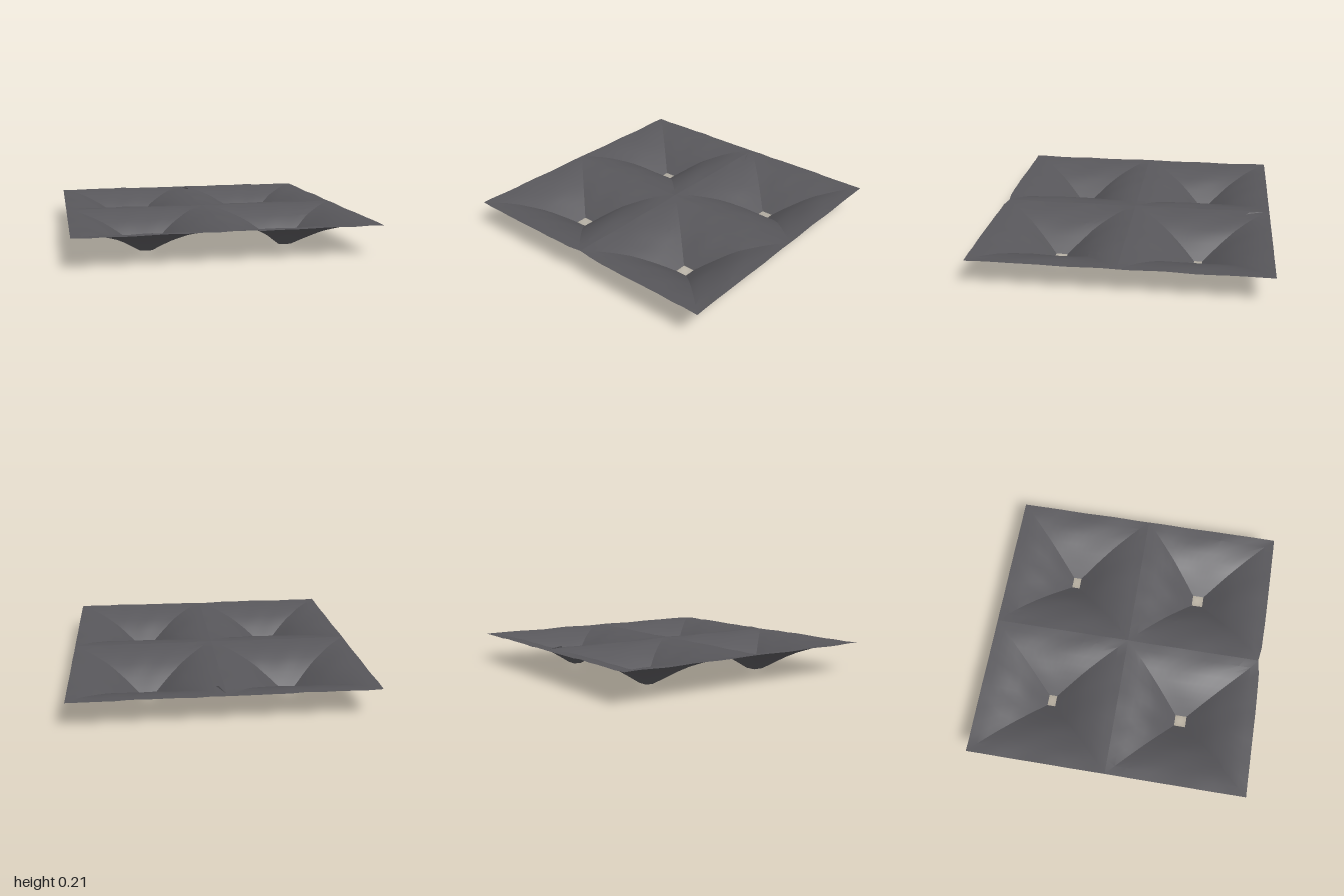
import * as THREE from 'three';
import { toCreasedNormals } from 'three/addons/utils/BufferGeometryUtils.js';

// Funnel section: [fraction from hole to panel edge, height]
const PROFILE = [
  [0, 0.004], [0.12, 0.047], [0.25, 0.09], [0.36, 0.123], [0.47, 0.15],
  [0.62, 0.178], [0.74, 0.194], [0.86, 0.204], [1, 0.209],
];
const SEGMENTS = 10; // per side of each square ring

// Gentle unevenness of the cloth, continuous across panels
function wrinkle(x, z) {
  return 0.0022 * Math.sin(9 * x + 4 * z + 1) * Math.cos(11 * z - 3 * x)
    + 0.0016 * Math.sin(23 * x - 13 * z) + 0.0012 * Math.sin(17 * z + 29 * x + 2);
}

// Shallow notch in the middle of the front hem
function hemPull(x, z) {
  const a = Math.abs(x);
  const pull = 0.008 * Math.max(0, 1 - a / 0.33) + 0.012 * Math.max(0, 1 - a / 0.04);
  return pull * THREE.MathUtils.smoothstep(z, 0.75, 0.985);
}

// Square funnel: rings growing from the hole rectangle to the panel rectangle
function funnelGeometry(hole, panel) {
  const positions = [], indices = [];
  const corners = [[-1, -1], [-1, 1], [1, 1], [1, -1]];
  const count = SEGMENTS * 4;
  const at = ([x0, x1], s) => THREE.MathUtils.lerp(x0, x1, (s + 1) / 2);
  for (const [t, y] of PROFILE) {
    for (let i = 0; i < count; i++) {
      const side = Math.floor(i / SEGMENTS), f = (i % SEGMENTS) / SEGMENTS;
      const p = corners[side], q = corners[(side + 1) % 4];
      const a = THREE.MathUtils.lerp(p[0], q[0], f);
      const b = THREE.MathUtils.lerp(p[1], q[1], f);
      const x = THREE.MathUtils.lerp(at(hole.x, a), at(panel.x, a), t);
      const z = THREE.MathUtils.lerp(at(hole.z, b), at(panel.z, b), t);
      positions.push(x, y + wrinkle(x, z) * Math.min(1, t * 2.5), z - hemPull(x, z));
    }
  }
  for (let r = 0; r < PROFILE.length - 1; r++) {
    for (let i = 0; i < count; i++) {
      const j = (i + 1) % count;
      const a = r * count + i, b = r * count + j;
      indices.push(a, a + count, b, b, a + count, b + count);
    }
  }
  const geometry = new THREE.BufferGeometry();
  geometry.setAttribute('position', new THREE.Float32BufferAttribute(positions, 3));
  geometry.setIndex(indices);
  return toCreasedNormals(geometry, 0.2);
}

export function createModel() {
  const group = new THREE.Group();
  group.name = 'tuftedSheet';
  const cloth = new THREE.MeshStandardMaterial({ color: 0x58575b, side: THREE.DoubleSide });
  cloth.name = 'darkGreyCloth';

  // Two by two panels, each sinking to a small square hole
  const columns = [
    { name: 'Right', hole: [-0.53, -0.45], panel: [-1, 0] },
    { name: 'Left', hole: [0.443, 0.527], panel: [0, 1] },
  ];
  const rows = [
    { name: 'back', hole: [-0.52, -0.462], panel: [-0.985, 0] },
    { name: 'front', hole: [0.43, 0.512], panel: [0, 0.985] },
  ];
  for (const row of rows) {
    for (const col of columns) {
      const geometry = funnelGeometry({ x: col.hole, z: row.hole }, { x: col.panel, z: row.panel });
      const mesh = new THREE.Mesh(geometry, cloth);
      mesh.name = row.name + col.name + 'Funnel';
      group.add(mesh);
    }
  }

  // Small upright fold near the back hem
  const foldGeometry = new THREE.BufferGeometry().setFromPoints([
    new THREE.Vector3(0, 0.208, -0.95),
    new THREE.Vector3(0.065, 0.196, -0.8),
    new THREE.Vector3(0.04, 0.217, -0.84),
  ]);
  foldGeometry.computeVertexNormals();
  const fold = new THREE.Mesh(foldGeometry, cloth);
  fold.name = 'backFold';
  group.add(fold);

  return group;
}
